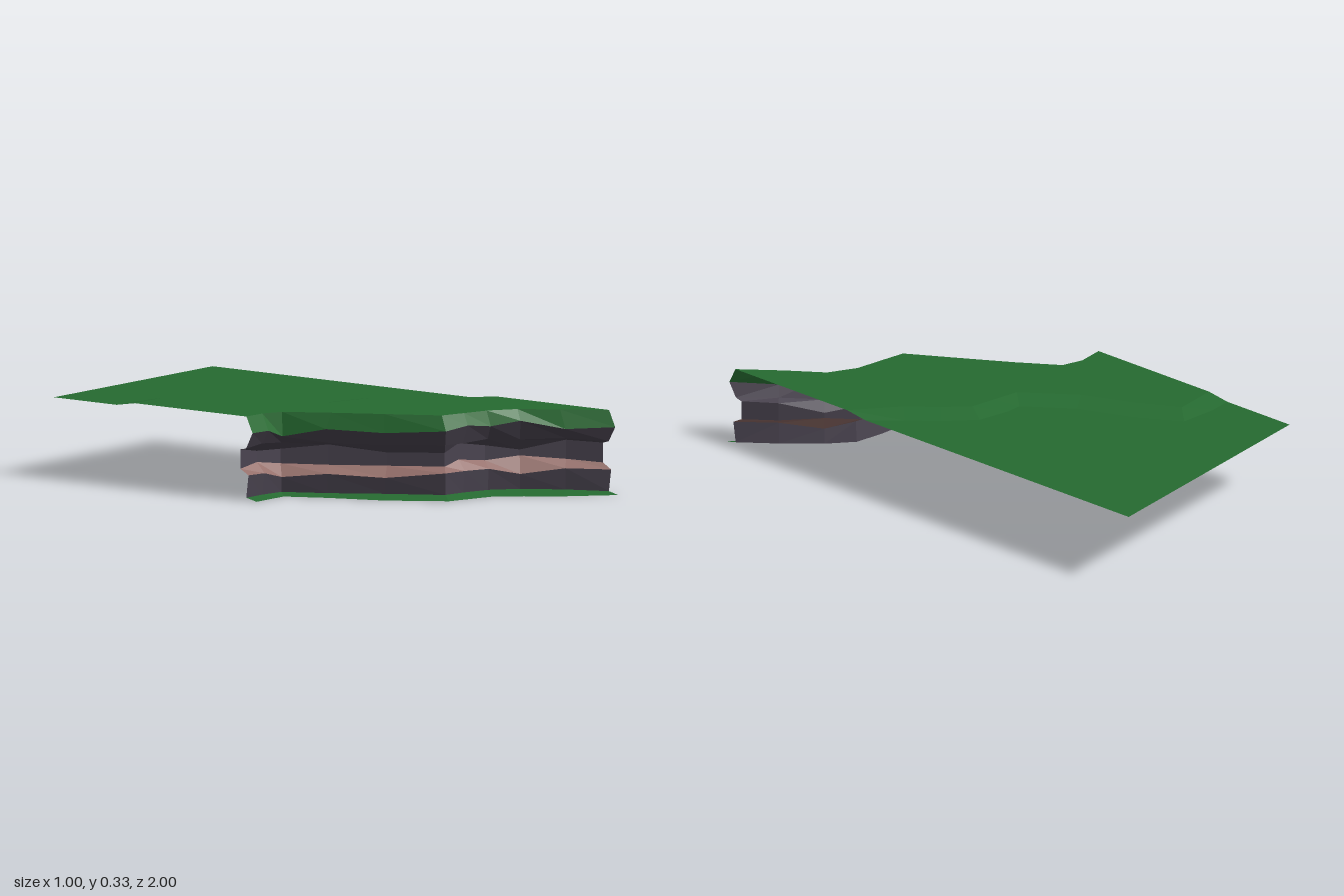
import * as THREE from 'three';

const mat = (name, color) => new THREE.MeshStandardMaterial({ name, color, flatShading: true, side: THREE.DoubleSide });

// Surface between two rows of points; the first row lies above or behind the second
function strip(name, upper, lower, material) {
  const pos = [];
  for (let i = 0; i < upper.length - 1; i++) {
    const [a, b, c, d] = [upper[i], lower[i], lower[i + 1], upper[i + 1]];
    pos.push(...a, ...b, ...c, ...a, ...c, ...d);
  }
  const g = new THREE.BufferGeometry();
  g.setAttribute('position', new THREE.Float32BufferAttribute(pos, 3));
  g.computeVertexNormals();
  const mesh = new THREE.Mesh(g, material);
  mesh.name = name;
  return mesh;
}

// Plan paths as [x, z], from the left edge of the tile to the right
const footPath = [[-0.5, 0], [-0.41, 0], [-0.33, 0], [-0.25, 0.16], [-0.17, 0.37], [-0.03, 0.58],
  [0.07, 0.61], [0.17, 0.64], [0.25, 0.73], [0.34, 0.85], [0.5, 1]];
const lipPath = [[-0.5, -0.02], [-0.4, -0.02], [-0.325, -0.01], [-0.24, 0.14], [-0.13, 0.34], [-0.017, 0.555],
  [0.09, 0.58], [0.195, 0.61], [0.28, 0.69], [0.385, 0.83], [0.5, 0.985]];
const rimPath = [[-0.5, -0.05], [-0.4, -0.05], [-0.32, -0.015], [-0.22, 0.15], [-0.12, 0.33], [-0.01, 0.53],
  [0.09, 0.56], [0.195, 0.59], [0.3, 0.66], [0.39, 0.8], [0.5, 0.955]];

// Move a path into the hill; the end points stay on the tile edges
function inset(path, dist) {
  return path.map(([x, z], i) => {
    if (i === 0 || i === path.length - 1) return [x, z - dist];
    const [p, q] = [path[i - 1], path[i + 1]];
    const len = Math.hypot(q[0] - p[0], q[1] - p[1]);
    return [x + dist * (q[1] - p[1]) / len, z - dist * (q[0] - p[0]) / len];
  });
}

// Add heights to a plan path
const raise = (path, y) => path.map(([x, z], i) => [x, Array.isArray(y) ? y[i] : y, z]);

export function createModel() {
  const grass = mat('grass green', 0x266b31);
  const rock = mat('dark rock', 0x4a4450);
  const clay = mat('pink clay', 0x956f6a);

  // Cliff rows from the rim down to the foot
  const rim = raise(rimPath, 0.33);
  const lip = raise(lipPath, [0.267, 0.265, 0.235, 0.267, 0.257, 0.27, 0.283, 0.27, 0.289, 0.257, 0.265]);
  const brow = raise(inset(lipPath, 0.032), [0.204, 0.212, 0.206, 0.209, 0.206, 0.211, 0.209, 0.216, 0.211, 0.216, 0.207]);
  const ledge = raise(inset(lipPath, 0.06), [0.199, 0.18, 0.177, 0.198, 0.172, 0.177, 0.207, 0.187, 0.167, 0.206, 0.199]);
  const clayTop = raise(inset(lipPath, 0.06), [0.122, 0.136, 0.12, 0.118, 0.12, 0.123, 0.142, 0.128, 0.144, 0.131, 0.121]);
  const clayBase = raise(inset(lipPath, 0.02), [0.1, 0.096, 0.072, 0.088, 0.078, 0.102, 0.102, 0.1, 0.077, 0.1, 0.097]);
  const rockBase = raise(inset(lipPath, 0.031), [0.011, 0.011, 0.012, 0.011, 0.014, 0.016, 0.016, 0.016, 0.017, 0.015, 0.011]);
  const foot = raise(footPath, 0);

  // Plateau rows: a gentle step follows the cliff line further back
  const stepPath = footPath.map(([x, z]) => [x, z - 0.6]);
  const stepTop = raise(stepPath, 0.33);
  const stepBase = raise(inset(stepPath, 0.09), 0.315);
  const back = stepBase.map(([x]) => [x, 0.315, -1]);

  const group = new THREE.Group();
  group.name = 'cliffTile';
  group.add(
    strip('lowerPlateau', back, stepBase, grass),
    strip('plateauStep', stepBase, stepTop, grass),
    strip('upperPlateau', stepTop, rim, grass),
    strip('grassLip', rim, lip, grass),
    strip('rockOverhang', lip, brow, rock),
    strip('rockLedge', brow, ledge, rock),
    strip('upperRock', ledge, clayTop, rock),
    strip('clayBand', clayTop, clayBase, clay),
    strip('lowerRock', clayBase, rockBase, rock),
    strip('footGrass', rockBase, foot, grass)
  );
  return group;
}
